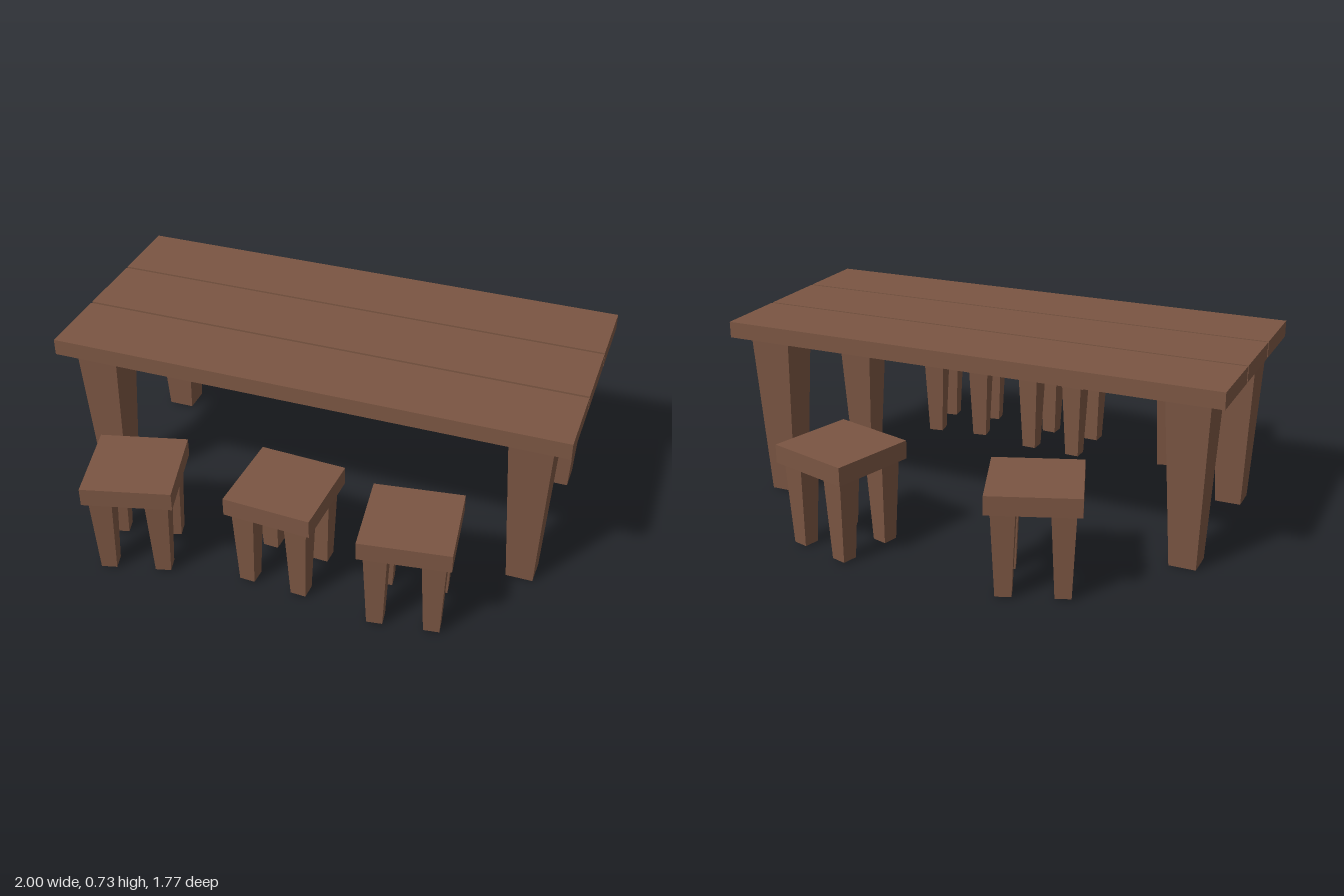
import * as THREE from 'three';

const wood = new THREE.MeshStandardMaterial({ color: 0x7a5542, flatShading: true });

function addBox(parent, name, size, position) {
  const mesh = new THREE.Mesh(new THREE.BoxGeometry(...size), wood);
  mesh.name = name;
  mesh.position.set(...position);
  parent.add(mesh);
}

// Square leg, wider at the top than at the foot
function addLeg(parent, name, topWidth, footWidth, y0, y1, x, z) {
  const geometry = new THREE.CylinderGeometry(topWidth * Math.SQRT1_2, footWidth * Math.SQRT1_2, y1 - y0, 4);
  geometry.rotateY(Math.PI / 4);
  const mesh = new THREE.Mesh(geometry, wood);
  mesh.name = name;
  mesh.position.set(x, (y0 + y1) / 2, z);
  parent.add(mesh);
}

function createTable() {
  const table = new THREE.Group();
  table.name = 'table';
  // Three long planks with narrow gaps
  for (const i of [-1, 0, 1]) {
    addBox(table, 'tablePlank', [2, 0.064, 0.295], [0, 0.702, i * 0.305]);
  }
  for (const [x, z] of [[-0.86, 0.31], [0.85, 0.31], [-0.855, -0.31], [0.858, -0.31]]) {
    addLeg(table, 'tableLeg', 0.168, 0.104, 0, 0.67, x, z);
  }
  return table;
}

function createStool(x, z, turn) {
  const stool = new THREE.Group();
  stool.name = 'stool';
  addBox(stool, 'stoolSeat', [0.34, 0.072, 0.34], [0, 0.369, 0]);
  for (const sx of [-1, 1]) {
    for (const sz of [-1, 1]) addLeg(stool, 'stoolLeg', 0.088, 0.06, 0.005, 0.333, sx * 0.105, sz * 0.105);
  }
  stool.position.set(x, 0, z);
  stool.rotation.y = turn;
  return stool;
}

export function createModel() {
  const model = new THREE.Group();
  model.name = 'tableWithStools';
  model.add(createTable());
  // Stools: x, z and turn about the vertical
  const stools = [
    [-0.402, -0.67, 0.345],
    [0.38, -0.67, -0.284],
    [-0.578, 0.672, 0.252],
    [-0.006, 0.592, -0.053],
    [0.493, 0.63, 0.134],
  ];
  for (const [x, z, turn] of stools) model.add(createStool(x, z, turn));
  return model;
}
